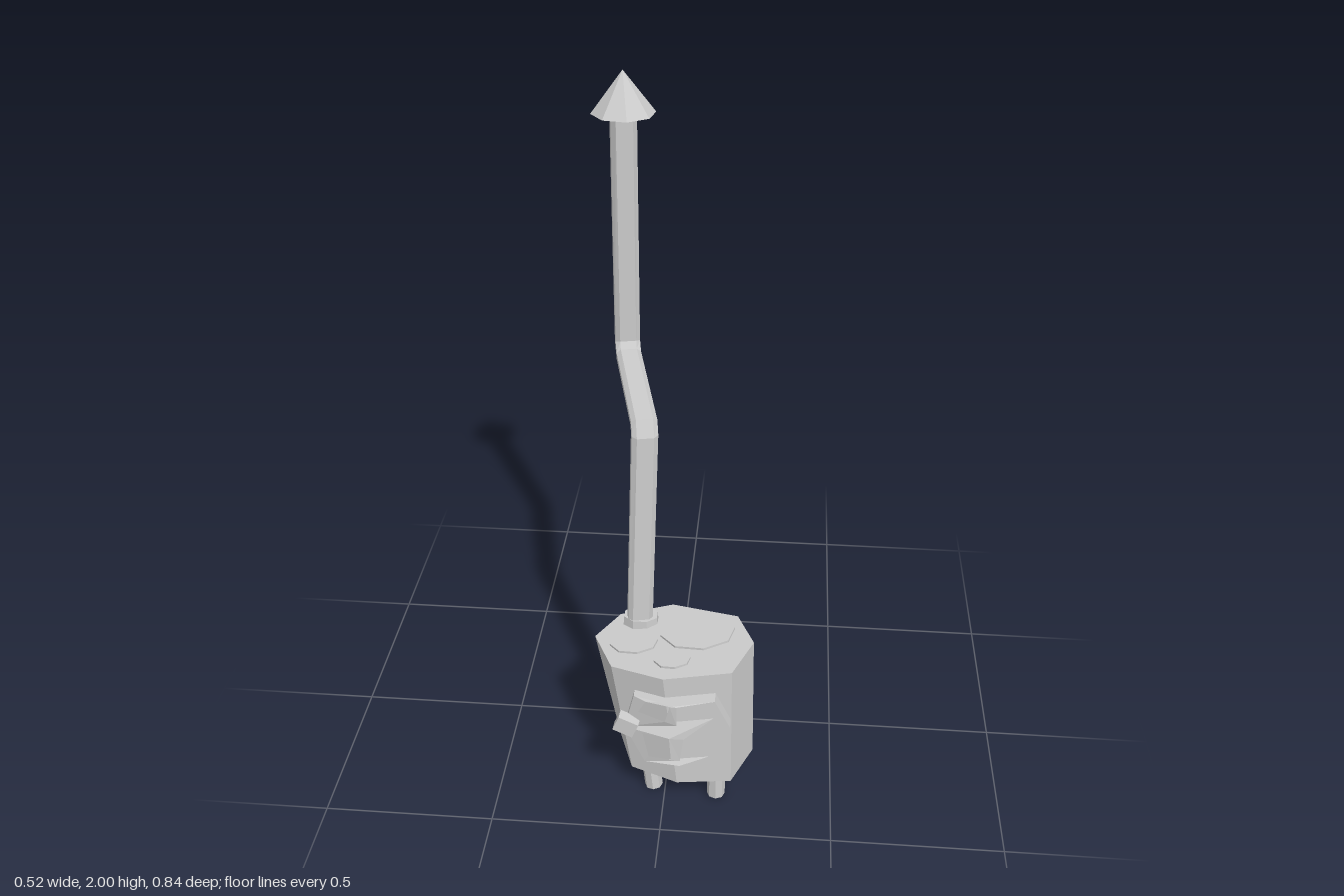
import * as THREE from 'three';

const material = new THREE.MeshStandardMaterial({ color: 0xcccccc, flatShading: true });

// Closed solid through rings of points, each counter-clockwise seen from the far end
function loft(rings) {
  const pos = [], n = rings[0].length, last = rings.length - 1;
  const tri = (...pts) => pts.forEach((p) => pos.push(p.x, p.y, p.z));
  for (let r = 0; r < last; r++) {
    for (let i = 0; i < n; i++) {
      const j = (i + 1) % n, a = rings[r], b = rings[r + 1];
      tri(a[i], a[j], b[j]);
      tri(a[i], b[j], b[i]);
    }
  }
  for (let i = 1; i < n - 1; i++) {
    tri(rings[0][0], rings[0][i + 1], rings[0][i]);
    tri(rings[last][0], rings[last][i], rings[last][i + 1]);
  }
  const g = new THREE.BufferGeometry();
  g.setAttribute('position', new THREE.Float32BufferAttribute(pos, 3));
  g.computeVertexNormals();
  return g;
}

const topY = (x) => 0.475 + 0.085 * x; // sloping stove top
const SLOPE = Math.atan(0.085);

export function createModel() {
  const group = new THREE.Group();
  const add = (name, geometry, x = 0, y = 0, z = 0) => {
    const mesh = new THREE.Mesh(geometry, material);
    mesh.name = name;
    mesh.position.set(x, y, z);
    group.add(mesh);
    return mesh;
  };

  // Lopsided eight-sided stove body
  const bottom = [[-0.15, 0.19], [-0.1, 0.33], [0.04, 0.385], [0.2, 0.365],
    [0.26, 0.225], [0.205, 0.1], [0.05, 0.038], [-0.1, 0.08]];
  const top = [[-0.22, 0.185], [-0.155, 0.325], [0, 0.385], [0.195, 0.36],
    [0.252, 0.225], [0.2, 0.1], [0, 0.037], [-0.155, 0.08]];
  add('stoveBody', loft([
    bottom.map(([x, z]) => new THREE.Vector3(x, 0.08, z)),
    top.map(([x, z]) => new THREE.Vector3(x, topY(x), z)),
  ]));

  // Cooking plates: x, z, radius in x, radius in z
  [[0.085, 0.175, 0.112, 0.084], [-0.1, 0.22, 0.072, 0.052], [0.02, 0.3, 0.054, 0.041]]
    .forEach(([x, z, rx, rz]) => {
      const plate = add('cookingPlate', new THREE.CylinderGeometry(1, 1, 0.014, 8), x, topY(x), z);
      plate.geometry.rotateY(0.2).scale(rx, 1, rz);
      plate.rotation.z = SLOPE;
    });

  // Collar where the chimney leaves the top
  const collar = add('chimneyCollar', new THREE.CylinderGeometry(0.053, 0.056, 0.036, 8), -0.09, 0.475, 0.115);
  collar.geometry.rotateY(Math.PI / 8).scale(1, 1, 0.75);

  // Chimney pipe: each ring is [outer z, outer y, inner z, inner y, x shift]
  const section = [[1, -0.5], [0.65, -1], [-0.65, -1], [-1, -0.5], [-1, 0.5], [-0.65, 1], [0.65, 1], [1, 0.5]];
  const W = new THREE.Vector3(0.976, 0, -0.217).multiplyScalar(0.037);
  const rings = [
    [0.145, 0.46, 0.097, 0.46, -0.024],
    [0.122, 1.11, 0.078, 1.12, 0],
    [0.1, 1.16, 0.07, 1.123, 0],
    [-0.295, 1.17, -0.3, 1.127, 0],
    [-0.308, 1.19, -0.355, 1.172, 0],
    [-0.3, 1.885, -0.366, 1.885, 0],
  ].map(([oz, oy, iz, iy, shift]) => {
    const xAt = (z) => -0.074 + 0.222 * (z - 0.1) + shift;
    const outer = new THREE.Vector3(xAt(oz), oy, oz);
    const inner = new THREE.Vector3(xAt(iz), iy, iz);
    const centre = outer.clone().add(inner).multiplyScalar(0.5);
    const D = outer.clone().sub(centre);
    return section.map(([a, b]) => centre.clone().addScaledVector(W, a).addScaledVector(D, b));
  });
  add('chimneyPipe', loft(rings));

  // Pointed rain cap
  const cap = add('chimneyCap', new THREE.ConeGeometry(0.092, 0.12, 8), -0.17, 1.94, -0.338);
  cap.geometry.rotateY(0.21).scale(1, 1, 0.94);

  // Door with four panes, bent to follow the front facets
  const outline = [[-0.085, 0.4], [0.03, 0.41], [0.15, 0.42], [0.195, 0.32],
    [0.16, 0.195], [0.05, 0.178], [-0.055, 0.16], [-0.115, 0.27]];
  const panes = [
    [[-0.05, 0.392], [0.022, 0.402], [0.008, 0.34], [-0.072, 0.345]],
    [[0.042, 0.402], [0.125, 0.416], [0.148, 0.358], [0.042, 0.334]],
    [[-0.06, 0.268], [0.02, 0.28], [0.026, 0.198], [-0.042, 0.185]],
    [[0.062, 0.28], [0.153, 0.296], [0.137, 0.212], [0.052, 0.198]],
  ];
  const toPoints = (list) => list.map(([x, y]) => new THREE.Vector2(x, y));
  const doorShape = new THREE.Shape(toPoints(outline));
  doorShape.holes = panes.map((p) => new THREE.Path(toPoints(p)));
  const door = new THREE.ExtrudeGeometry(doorShape, { depth: 0.04, bevelEnabled: false });
  const p = door.attributes.position;
  for (let i = 0; i < p.count; i++) {
    const d = p.getX(i) - 0.03;
    p.setZ(i, p.getZ(i) + 0.38 - (d < 0 ? -0.39 * d : 0.13 * d));
  }
  door.computeVertexNormals();
  add('stoveDoor', door);

  // Door handle
  const handle = add('doorHandle', new THREE.BoxGeometry(0.062, 0.052, 0.034), -0.107, 0.3, 0.384);
  handle.rotation.set(0, -0.08, -0.38);

  // Two short front legs
  [[-0.04, 0.315, 0.1], [0.155, 0.337, 0]].forEach(([x, z, tilt]) => {
    const leg = add('frontLeg', new THREE.CylinderGeometry(0.027, 0.027, 0.1, 8), x, 0.052, z);
    leg.rotation.z = tilt;
  });

  return group;
}
